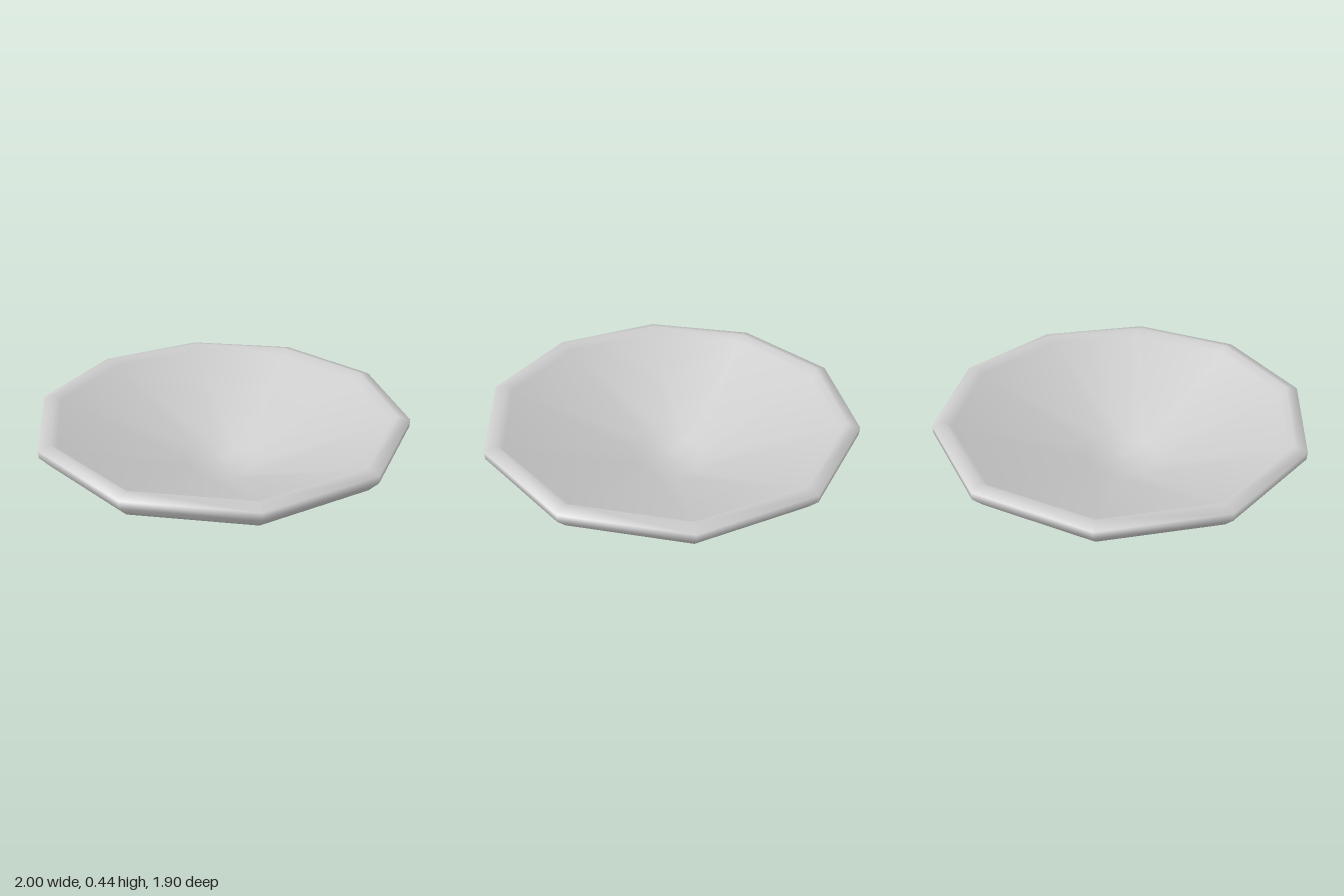
import * as THREE from 'three';

export function createModel() {
  const group = new THREE.Group();
  group.name = 'dish';
  const material = new THREE.MeshStandardMaterial({ color: 0xcccccc });

  // One closed profile: foot, flared outside, rolled rim, hollow inside
  const profile = [
    [0, 0], [0.235, 0], [0.235, 0.08],             // foot
    [0.95, 0.32], [1, 0.38], [1, 0.42],            // outer wall
    [0.935, 0.435], [0.905, 0.405],                // rim and lip
    [0.2, 0.09], [0, 0.08],                        // inner wall and floor
  ].map(([r, y]) => new THREE.Vector2(r, y));

  // Ten sides with a corner on the x axis, smooth normals
  const bowl = new THREE.Mesh(new THREE.LatheGeometry(profile, 10, Math.PI / 2), material);
  bowl.name = 'bowl';
  group.add(bowl);
  return group;
}
